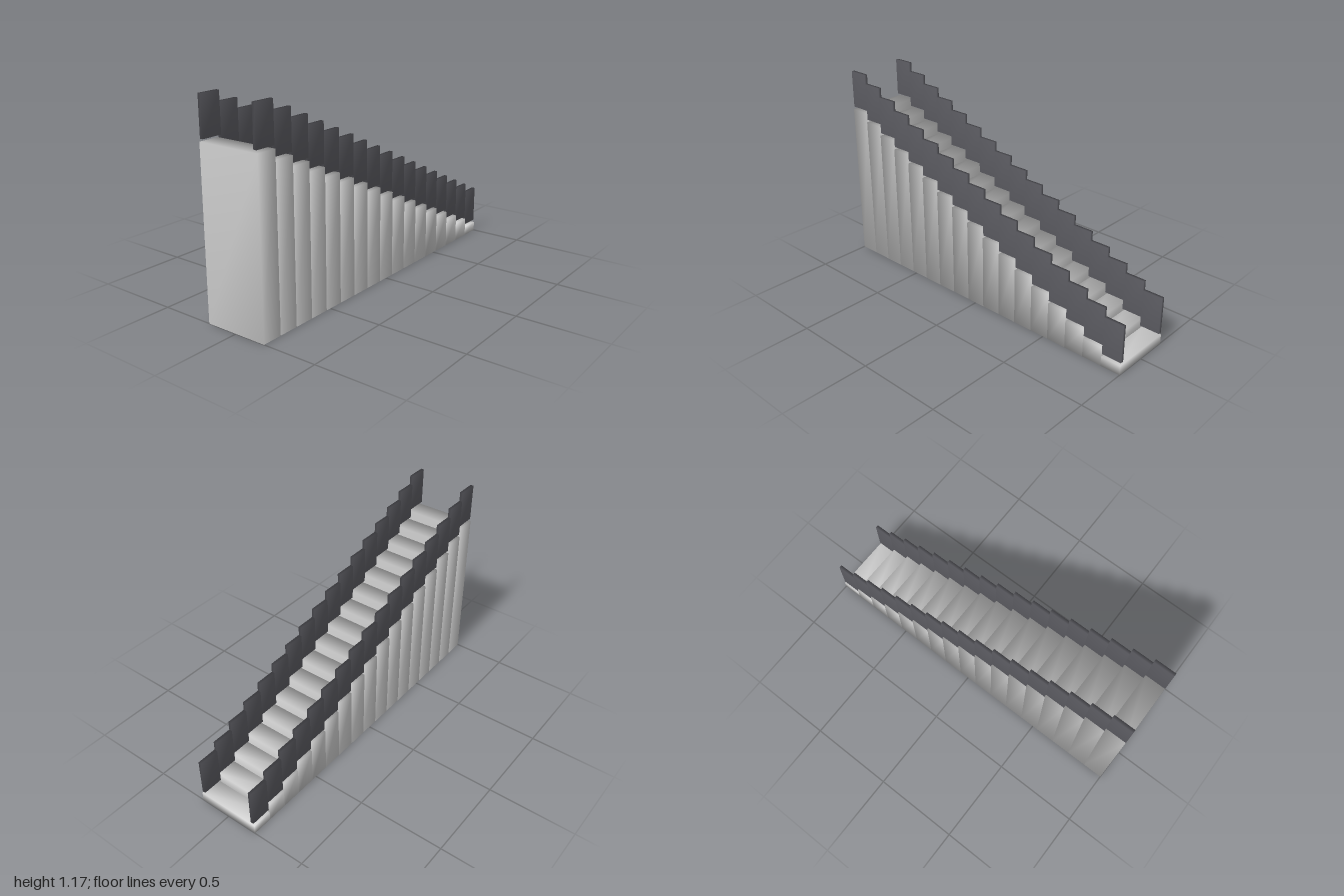
import * as THREE from 'three';
import { mergeVertices } from 'three/addons/utils/BufferGeometryUtils.js';

// Box whose corners are shared, so its shading is smooth across the edges
function softBox(w, h, d) {
  const box = new THREE.BoxGeometry(w, h, d);
  box.deleteAttribute('normal');
  box.deleteAttribute('uv');
  const geometry = mergeVertices(box);
  geometry.computeVertexNormals();
  return geometry;
}

export function createModel() {
  const group = new THREE.Group();
  group.name = 'staircase';

  const count = 17, depth = 2 / count, rise = 0.0551;
  const width = 0.374, panelHeight = 0.218, panelThickness = 0.019, gap = 0.015;
  const stepMaterial = new THREE.MeshStandardMaterial({ color: 0xcccccc });
  const panelMaterial = new THREE.MeshStandardMaterial({ color: 0x5c5c62 });
  const panelGeometry = softBox(panelThickness, panelHeight, depth);

  for (let i = 0; i < count; i++) {
    const top = rise * (i + 1);
    const z = -1 + depth * (i + 0.5);

    // Solid step reaching down to the ground, rising towards the front
    const step = new THREE.Mesh(softBox(width, top, depth), stepMaterial);
    step.name = `step${i + 1}`;
    step.position.set(0, top / 2, z);
    group.add(step);

    // Side panels floating just above each end of the step
    for (const side of [-1, 1]) {
      const panel = new THREE.Mesh(panelGeometry, panelMaterial);
      panel.name = `${side > 0 ? 'left' : 'right'}RailPanel${i + 1}`;
      panel.position.set(side * 0.1725, top + gap + panelHeight / 2, z);
      group.add(panel);
    }
  }
  return group;
}
